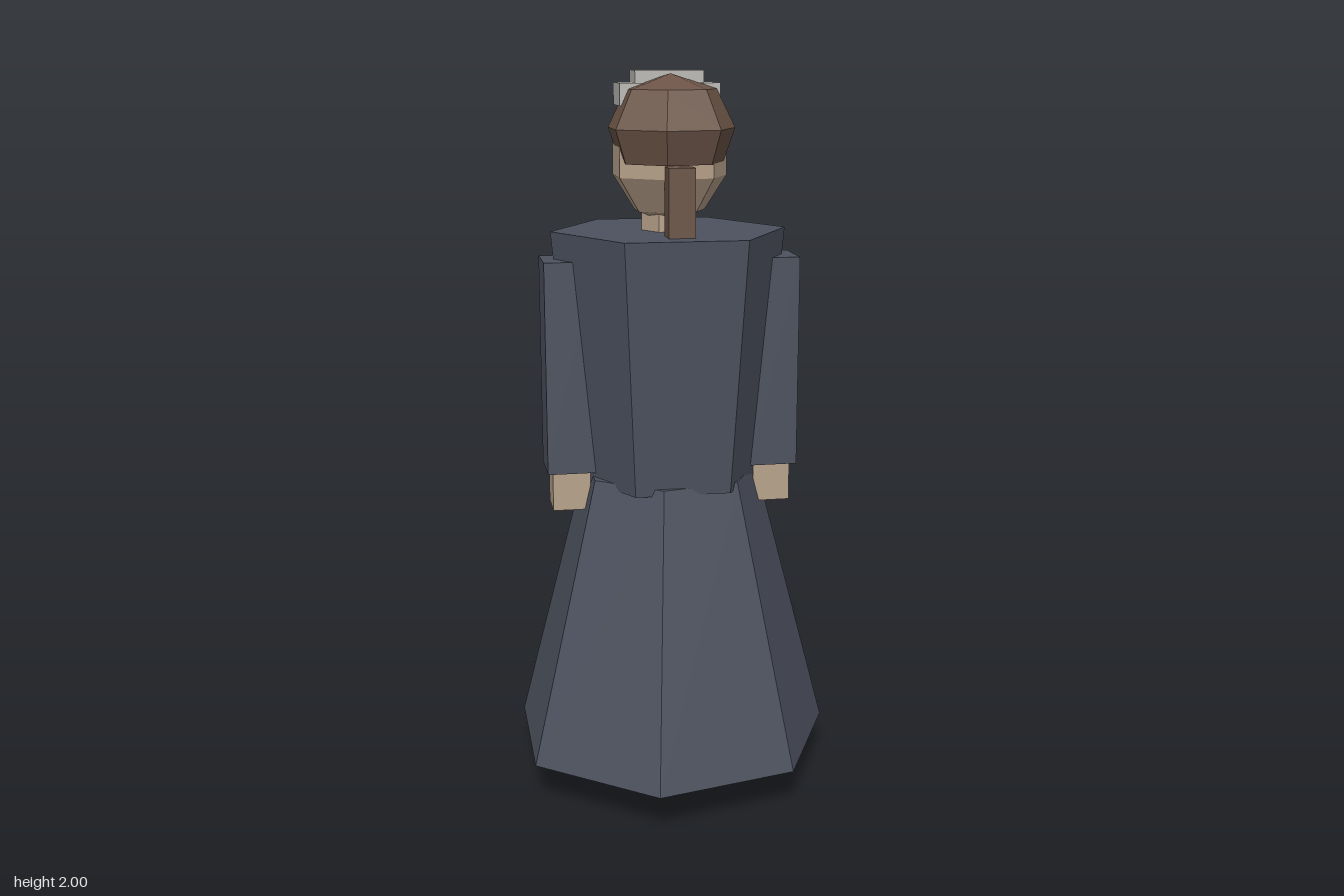
import * as THREE from 'three';

const CX = -0.0235; // centre line of the figure

function material(name, color, extra = {}) {
  const m = new THREE.MeshStandardMaterial({ color, flatShading: true, ...extra });
  m.name = name;
  return m;
}

export function createModel() {
  const group = new THREE.Group();
  group.name = 'figure';
  const dress = material('dressSlate', 0x4d525f);
  const skin = material('skin', 0xb8a38b);
  const hair = material('hairBrown', 0x6c5547, { side: THREE.DoubleSide });
  const linen = material('linenGrey', 0xbbb9b4);

  function add(name, geometry, mat, x = CX, y = 0, z = 0) {
    const mesh = new THREE.Mesh(geometry, mat);
    mesh.name = name;
    mesh.position.set(x, y, z);
    group.add(mesh);
    return mesh;
  }
  // Box given by its low and high corner
  function box(name, mat, [x0, y0, z0], [x1, y1, z1]) {
    return add(name, new THREE.BoxGeometry(x1 - x0, y1 - y0, z1 - z0), mat,
      (x0 + x1) / 2, (y0 + y1) / 2, (z0 + z1) / 2);
  }
  // Tapered prism with one corner on +x
  function prism(name, mat, rTop, rBottom, y0, y1, sides) {
    const g = new THREE.CylinderGeometry(rTop, rBottom, y1 - y0, sides, 1, false, Math.PI / 2);
    return add(name, g, mat, CX, (y0 + y1) / 2, 0);
  }

  // Dress
  prism('skirt', dress, 0.25, 0.46, 0.11, 0.905, 7);
  prism('torso', dress, 0.325, 0.26, 0.885, 1.577, 6);

  // Arms, hands and shoes
  for (const [side, s] of [['left', 1], ['right', -1]]) {
    const armX = CX + s * 0.284;
    const shoeX = CX + s * 0.115;
    box(side + 'Arm', dress, [armX - 0.067, 0.918, -0.077], [armX + 0.067, 1.503, 0.077]);
    box(side + 'Hand', skin, [armX - 0.052, 0.808, -0.055], [armX + 0.052, 0.93, 0.055]);
    box(side + 'Shoe', dress, [shoeX - 0.083, 0, -0.195], [shoeX + 0.083, 0.12, 0.095]);
  }

  // Neck, head and nose (the face looks toward -z)
  prism('neck', skin, 0.076, 0.076, 1.56, 1.67, 6);
  const headGeometry = new THREE.SphereGeometry(1, 7, 5);
  headGeometry.rotateY(Math.PI);
  headGeometry.scale(0.168, 0.185, 0.168);
  add('head', headGeometry, skin, CX, 1.78, 0);
  box('nose', skin, [-0.051, 1.735, -0.21], [0.002, 1.802, -0.13]);

  // Hair cap and hanging plait
  const profile = [[0.145, 1.76], [0.176, 1.85], [0.125, 1.952], [0, 1.992]]
    .map(([r, y]) => new THREE.Vector2(r, y));
  add('hair', new THREE.LatheGeometry(profile, 7, Math.PI / 2), hair, CX, 0, 0.03);
  box('plait', hair, [-0.06, 1.56, 0.145], [0.011, 1.758, 0.214]);

  // Maid cap
  box('capBand', linen, [-0.16, 1.908, -0.095], [0.112, 1.967, 0.029]);
  box('capCrown', linen, [-0.117, 1.96, -0.079], [0.069, 2, 0.015]);

  // Apron
  box('apronBib', linen, [-0.16, 0.938, -0.298], [0.112, 1.378, -0.265]);
  box('apronSkirt', linen, [-0.244, 0.1, -0.363], [0.195, 0.875, -0.331]);

  return group;
}
